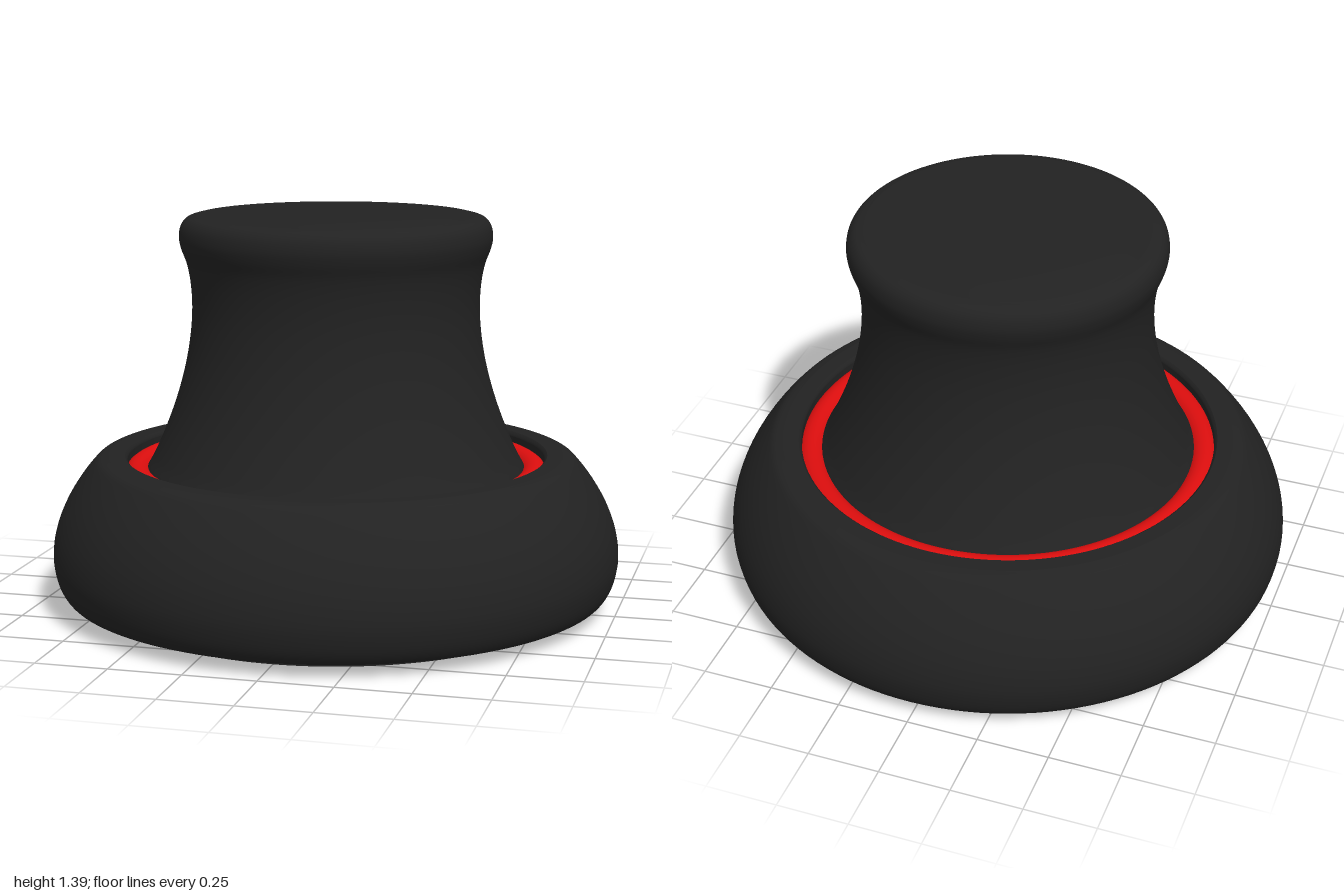
import * as THREE from 'three';
import { mergeGeometries } from 'three/addons/utils/BufferGeometryUtils.js';

const SEGMENTS = 128;

// Smooth curve through a few [radius, height] points
function curve(points, divisions = 40) {
  const path = new THREE.CatmullRomCurve3(
    points.map(([r, y]) => new THREE.Vector3(r, y, 0)), false, 'centripetal');
  return path.getPoints(divisions).map((p) => [Math.max(p.x, 0), p.y]);
}

// Turns each section separately, so edges between sections stay sharp
function turned(name, sections, material) {
  const parts = sections.map((section) => new THREE.LatheGeometry(
    section.map(([r, y]) => new THREE.Vector2(r, y)), SEGMENTS));
  const mesh = new THREE.Mesh(mergeGeometries(parts), material);
  mesh.name = name;
  return mesh;
}

export function createModel() {
  const group = new THREE.Group();
  group.name = 'knob';

  const black = new THREE.MeshStandardMaterial({ color: 0x222222 });
  black.name = 'matte black';
  const red = new THREE.MeshStandardMaterial({ color: 0xdd0e0e });
  red.name = 'red';

  // Flat foot under the base
  group.add(turned('footPad', [
    [[0, 0], [0.82, 0]],
    [[0.82, 0], [0.82, 0.05]],
  ], black));

  // Wide domed base with a recess for the ring
  group.add(turned('base', [
    [[0, 0.04], [0.93, 0.04]],
    curve([[0.93, 0.04], [0.955, 0.05], [0.98, 0.085], [0.996, 0.14], [1, 0.19],
      [0.99, 0.265], [0.96, 0.35], [0.915, 0.43], [0.86, 0.502], [0.835, 0.525], [0.8, 0.535]]),
    [[0.8, 0.535], [0.745, 0.535]],
    [[0.745, 0.535], [0.737, 0.528], [0.735, 0.52]],
    [[0.735, 0.52], [0.735, 0.42]],
    [[0.735, 0.42], [0.6, 0.42]],
  ], black));

  // Red ring lying in the recess
  const ringGeometry = new THREE.TorusGeometry(0.7, 0.05, 24, SEGMENTS);
  ringGeometry.rotateX(-Math.PI / 2);
  const ring = new THREE.Mesh(ringGeometry, red);
  ring.name = 'accentRing';
  ring.position.y = 0.458;
  group.add(ring);

  // Flared grip with a rounded rim and a slightly domed top
  group.add(turned('grip', [
    curve([[0.7, 0.42], [0.665, 0.49], [0.64, 0.535], [0.582, 0.67], [0.54, 0.8],
      [0.514, 0.92], [0.502, 1.04], [0.506, 1.14], [0.519, 1.21], [0.538, 1.262],
      [0.545, 1.3], [0.538, 1.34], [0.518, 1.364], [0.485, 1.374]], 72),
    curve([[0.485, 1.374], [0.35, 1.382], [0.18, 1.388], [0, 1.39]], 16),
  ], black));

  return group;
}
